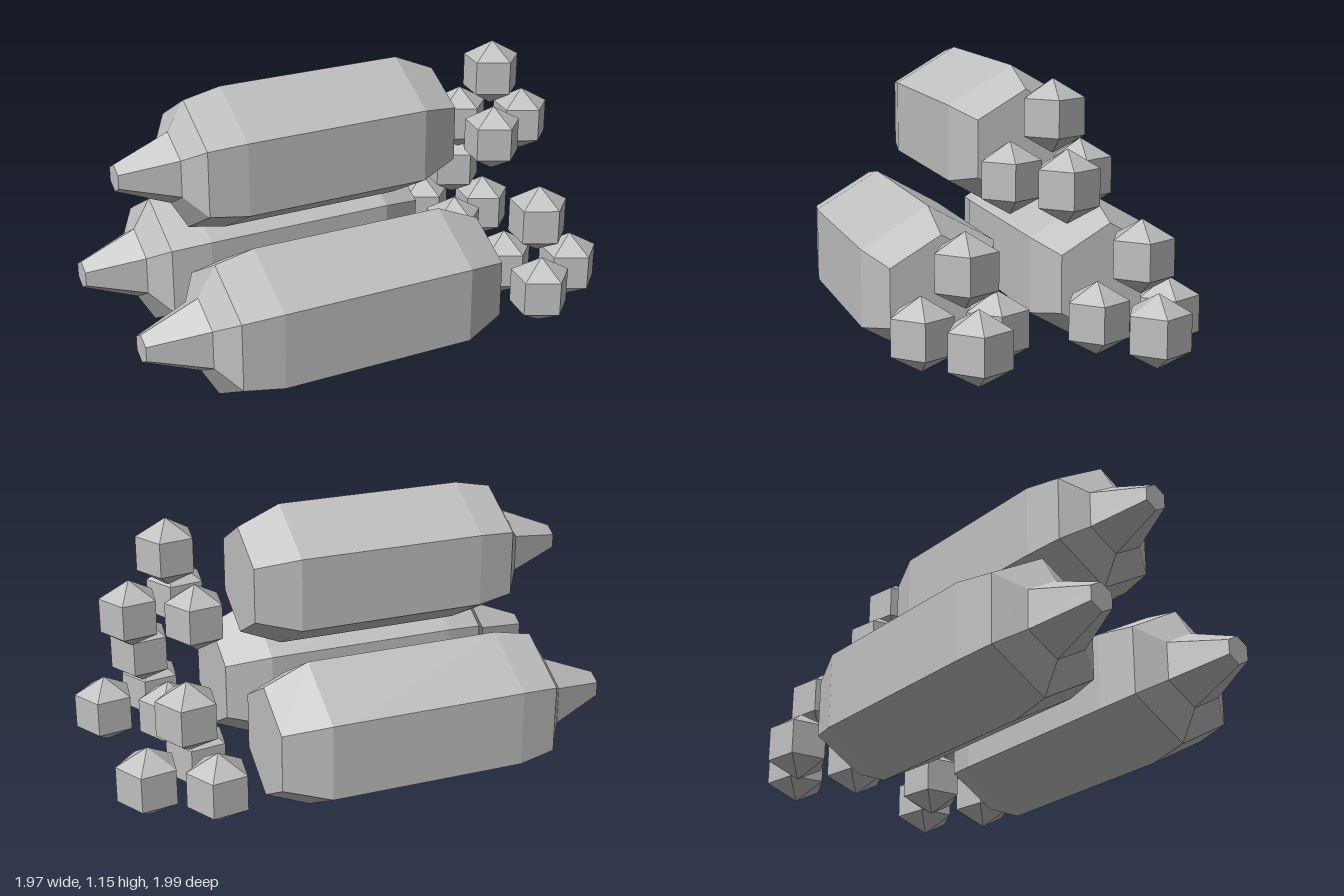
import * as THREE from 'three';

const lathe = (pts, sides, start = 0) =>
  new THREE.LatheGeometry(pts.map(p => new THREE.Vector2(...p)), sides, start);

export function createModel() {
  const model = new THREE.Group();
  const grey = new THREE.MeshStandardMaterial({ color: 0xbfbfbf, flatShading: true });
  grey.name = 'grey';

  // six-sided bottle body with bevelled base and shoulder, lying on the diagonal
  const body = lathe([
    [0, -0.443], [0.232, -0.443], [0.31, -0.262], [0.31, -0.19],
    [0.31, 0.54], [0.277, 0.70], [0.155, 0.772],
  ], 6).rotateX(Math.PI / 2).rotateY(-Math.PI / 4);

  // tapered neck with a flat tip
  const neck = lathe([[0.155, 0.772], [0.058, 1.004], [0, 1.004]], 6)
    .rotateX(Math.PI / 2).rotateY(-Math.PI / 4);

  // five-sided prism with a pyramid at each end
  const crystal = lathe([
    [0, -0.143], [0.123, -0.072], [0.123, 0.072], [0, 0.143],
  ], 5, -Math.PI / 2);

  // crystal positions behind each bottle: three below, one on top
  const spots = [
    [0.377, -0.078, -0.578], [0.577, -0.078, -0.373],
    [0.643, -0.078, -0.643], [0.527, 0.167, -0.528],
  ];

  // two bottles side by side and a slightly smaller one above
  const sets = [
    ['left', 0.243, 0.31, 0.243, 1],
    ['right', -0.243, 0.31, -0.243, 1],
    ['upper', 0, 0.857, 0, 0.95],
  ];
  for (const [name, x, y, z, scale] of sets) {
    const set = new THREE.Group();
    set.name = name + 'BottleSet';
    const add = (geometry, part, p = [0, 0, 0]) => {
      const mesh = new THREE.Mesh(geometry, grey);
      mesh.name = part;
      mesh.position.set(...p);
      set.add(mesh);
    };
    add(body, 'bottleBody');
    add(neck, 'bottleNeck');
    spots.forEach((p, i) => add(crystal, 'crystal' + (i + 1), p));
    set.position.set(x, y, z);
    set.scale.setScalar(scale);
    model.add(set);
  }
  return model;
}
